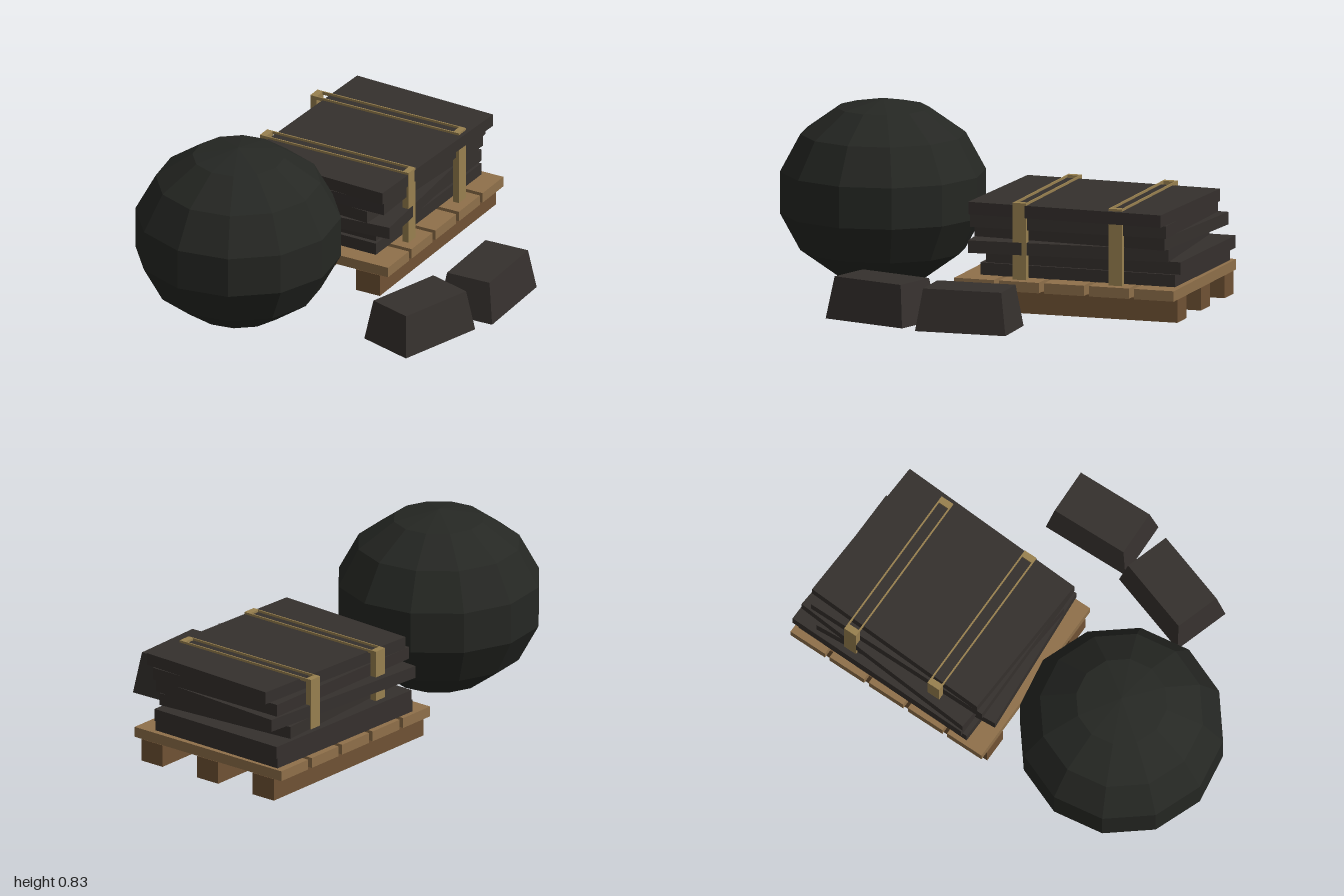
import * as THREE from 'three';

const material = (color) => new THREE.MeshStandardMaterial({ color, flatShading: true });

export function createModel() {
  const model = new THREE.Group();
  const stone = material(0x252723);
  const slate = material(0x35302d);
  const slatWood = material(0x8f704a);
  const beamWood = material(0x705234);
  const strapping = material(0x98804f);

  function add(parent, name, geometry, mat, x, y, z, turn = 0) {
    const mesh = new THREE.Mesh(geometry, mat);
    mesh.name = name;
    mesh.position.set(x, y, z);
    mesh.rotation.y = turn;
    parent.add(mesh);
    return mesh;
  }
  const box = (w, h, d) => new THREE.BoxGeometry(w, h, d);

  // Faceted, slightly squashed boulder
  const boulder = add(model, 'boulder', new THREE.SphereGeometry(0.4615, 12, 7), stone, -0.55, 0.42, -0.215);
  boulder.scale.y = 0.89;

  // Pallet: three beams under five slats
  const pallet = new THREE.Group();
  pallet.name = 'pallet';
  pallet.position.set(0.446, 0, -0.265);
  pallet.rotation.y = 0.105;
  model.add(pallet);
  for (let i = -1; i <= 1; i++) {
    add(pallet, 'palletBeam', box(1.015, 0.1, 0.12), beamWood, 0, 0.05, i * 0.315);
  }
  for (let i = -2; i <= 2; i++) {
    add(pallet, 'palletSlat', box(0.182, 0.046, 0.83), slatWood, i * 0.207, 0.123, 0);
  }

  // Unevenly stacked slabs, bottom to top: x, z, turn
  const slabs = [
    [0.475, -0.305, 0.09],
    [0.495, -0.32, 0.09],
    [0.42, -0.255, 0.18],
    [0.46, -0.3, 0.03],
    [0.445, -0.255, 0.11],
    [0.455, -0.235, 0.06],
  ];
  slabs.forEach(([x, z, turn], i) => {
    add(model, 'slab', box(0.9, 0.055, 0.7), slate, x, 0.1725 + i * 0.055, z, turn);
  });

  // Two straps: upright ends joined by thin raised edges over the stack
  for (const x of [-0.22, 0.22]) {
    const strap = new THREE.Group();
    strap.name = 'strap';
    strap.position.x = x;
    pallet.add(strap);
    for (const side of [-1, 1]) {
      add(strap, 'strapUpright', box(0.062, 0.34, 0.03), strapping, 0, 0.315, side * 0.357);
      add(strap, 'strapEdge', box(0.006, 0.015, 0.7), strapping, side * 0.028, 0.4775, 0);
    }
  }

  // Loose blocks with tapered sides
  function taperedBlock(x, z, turn) {
    const [w, h, d, inset] = [0.412, 0.185, 0.265, 0.028];
    const geometry = box(w, h, d);
    const p = geometry.attributes.position;
    for (let i = 0; i < p.count; i++) {
      if (p.getY(i) > 0) {
        p.setX(i, p.getX(i) - Math.sign(p.getX(i)) * inset);
        p.setZ(i, p.getZ(i) - Math.sign(p.getZ(i)) * inset);
      }
    }
    geometry.computeVertexNormals();
    add(model, 'looseBlock', geometry, slate, x, h / 2, z, turn);
  }
  taperedBlock(-0.213, 0.515, -0.195);
  taperedBlock(0.228, 0.56, 0.135);

  return model;
}
